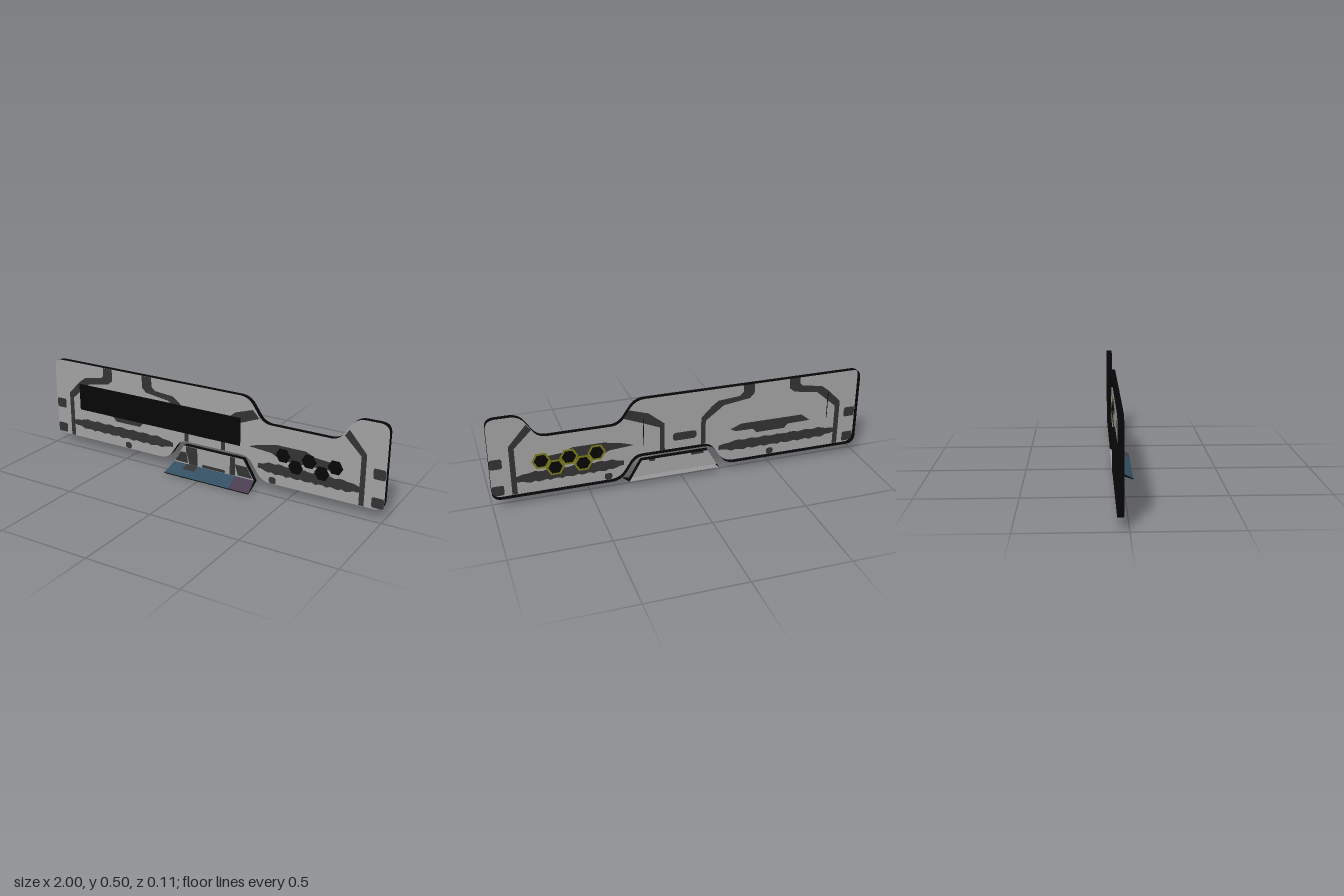
import * as THREE from 'three';

const mat = (name, color) => {
  const m = new THREE.MeshStandardMaterial({ color, side: THREE.DoubleSide });
  m.name = name;
  return m;
};
const FRONT = -0.024, BACK = -0.0525, LIFT = 0.0008;

// Closed shape through [x, y, cornerRadius] points
function roundedShape(pts) {
  const shape = new THREE.Shape();
  pts.forEach(([x, y, r = 0], i) => {
    const p = new THREE.Vector2(x, y);
    const towards = ([qx, qy]) => {
      const d = new THREE.Vector2(qx, qy).sub(p);
      return p.clone().add(d.setLength(Math.min(r, d.length() / 2)));
    };
    const a = towards(pts[(i + pts.length - 1) % pts.length]);
    const b = towards(pts[(i + 1) % pts.length]);
    if (i) shape.lineTo(a.x, a.y); else shape.moveTo(a.x, a.y);
    if (r) shape.quadraticCurveTo(x, y, b.x, b.y);
  });
  shape.closePath();
  return shape;
}

const rect = (x0, x1, y0, y1, r = 0) => [[x0, y0, r], [x1, y0, r], [x1, y1, r], [x0, y1, r]];

// Horizontal streak with an uneven edge and tapered ends
function streak(x0, x1, y0, y1, seed) {
  const top = [], low = [], n = 28, mid = (y0 + y1) / 2;
  for (let i = 0; i <= n; i++) {
    const t = i / n, x = x0 + (x1 - x0) * t;
    const h = (y1 - y0) / 2 * (0.4 + 0.6 * Math.min(1, 8 * Math.min(t, 1 - t)));
    top.unshift([x, mid + h * (0.88 + 0.12 * Math.sin(i * 1.9 + seed))]);
    low.push([x, mid - h * (0.85 + 0.15 * Math.sin(i * 2.3 + seed))]);
  }
  return [...low, ...top];
}

const hexagon = (cx, cy, r) => Array.from({ length: 6 }, (_, i) =>
  [cx + r * Math.cos(i * Math.PI / 3), cy + r * Math.sin(i * Math.PI / 3)]);

export function createModel() {
  const model = new THREE.Group();
  model.name = 'nameplate';
  const grey = mat('plate grey', 0xa2a2a2), dark = mat('pattern dark grey', 0x333333);
  const black = mat('edge black', 0x060606), olive = mat('hexagon olive', 0x7a7a16);
  const blue = mat('foot blue', 0x344e62), plum = mat('foot plum', 0x493c50);

  const add = (name, geometry, material, parent = model) => {
    const mesh = new THREE.Mesh(geometry, material);
    mesh.name = name;
    parent.add(mesh);
    return mesh;
  };
  const face = (name, pts, material, z) =>
    add(name, new THREE.ShapeGeometry(roundedShape(pts), 8), material).position.z = z;
  const bothFaces = (name, pts) => {
    face(name + 'Front', pts, dark, FRONT + LIFT);
    face(name + 'Back', pts, dark, FRONT - LIFT);
  };

  // Main plate: a sheet with a dipped top edge and a notch below
  const outline = [
    [-1, 0.052, 0.05], [-0.237, 0.052, 0.05], [-0.155, 0.175, 0.04], [0.257, 0.175, 0.04],
    [0.338, 0.052, 0.05], [1, 0.052, 0.05], [1, 0.497, 0.05], [0.833, 0.497, 0.05],
    [0.75, 0.37, 0.045], [0.341, 0.37, 0.045], [0.253, 0.497, 0.05], [-1, 0.497, 0.05]];
  face('mainPlate', outline, grey, FRONT);

  // Rim wall running back from the edge of the sheet, open behind
  const loop = roundedShape(outline).getPoints(8);
  const rim = new THREE.BufferGeometry();
  rim.setAttribute('position', new THREE.Float32BufferAttribute(
    loop.flatMap(p => [p.x, p.y, FRONT, p.x, p.y, BACK]), 3));
  rim.setIndex(loop.flatMap((_, i) => {
    const a = 2 * i, b = 2 * ((i + 1) % loop.length);
    return [a, a + 1, b + 1, a, b + 1, b];
  }));
  const rimFlat = rim.toNonIndexed();
  rimFlat.computeVertexNormals();
  add('plateRim', rimFlat, black);

  // Dark bands and patches on both faces
  bothFaces('leftBand', [[-0.905, 0.054], [-0.905, 0.31], [-0.83, 0.385], [-0.79, 0.415],
    [-0.675, 0.435], [-0.66, 0.45], [-0.66, 0.496], [-0.6, 0.496], [-0.6, 0.43], [-0.63, 0.405],
    [-0.765, 0.382], [-0.82, 0.335], [-0.877, 0.285], [-0.877, 0.054]]);
  bothFaces('middleBand', [[-0.4, 0.496], [-0.4, 0.43], [-0.375, 0.405], [-0.23, 0.385],
    [-0.13, 0.31], [-0.13, 0.176], [-0.105, 0.176], [-0.105, 0.33], [-0.165, 0.39],
    [-0.2, 0.415], [-0.315, 0.425], [-0.338, 0.445], [-0.338, 0.496]]);
  bothFaces('centreBand', [[0.28, 0.432], [0.318, 0.392], [0.2, 0.345], [0.12, 0.31],
    [0.12, 0.176], [0.095, 0.176], [0.095, 0.33], [0.18, 0.4]]);
  bothFaces('rightBand', [[0.778, 0.4], [0.802, 0.433], [0.897, 0.325], [0.897, 0.054],
    [0.87, 0.054], [0.87, 0.31]]);
  for (const s of [-1, 1]) for (const y of [0.21, 0.06]) {
    const xs = [s * 0.935, s * 0.998].sort((a, b) => a - b);
    bothFaces('edgeTab', rect(...xs, y, y + 0.055, 0.012));
  }
  bothFaces('leftStreak', streak(-0.88, -0.205, 0.105, 0.17, 0.4));
  bothFaces('rightStreak', streak(0.315, 0.88, 0.105, 0.17, 2.1));
  bothFaces('hexagonStreak', [[0.26, 0.232], [0.32, 0.252], [0.42, 0.272], [0.58, 0.272],
    [0.63, 0.25], [0.75, 0.24], [0.72, 0.2], [0.45, 0.193], [0.39, 0.222]]);
  bothFaces('longPatch', [[-0.73, 0.222], [-0.68, 0.262], [-0.33, 0.262], [-0.27, 0.237],
    [-0.3, 0.222], [-0.4, 0.22], [-0.42, 0.197], [-0.58, 0.197], [-0.6, 0.22]]);
  bothFaces('smallPatch', rect(-0.08, 0.05, 0.22, 0.265, 0.02));
  for (const x of [-0.5, 0.4]) bothFaces('bottomDot', rect(x - 0.02, x + 0.02, 0.054, 0.09, 0.015));

  // Raised black screen panel, with its end seams behind
  add('screenPanel', new THREE.BoxGeometry(1.04, 0.153, 0.003), black).position.set(-0.31, 0.2985, -0.0223);
  for (const x of [-0.83, 0.208])
    face('panelSeam', rect(x - 0.002, x + 0.002, 0.222, 0.375), black, FRONT - 2 * LIFT);

  // Hexagons: black on the front, olive rimmed on the back
  [0.457, 0.528, 0.6, 0.671, 0.741].forEach((x, i) => {
    const y = i % 2 ? 0.174 : 0.222;
    face('hexagonFront', hexagon(x, y, 0.041), black, FRONT + 2 * LIFT);
    face('hexagonRim', hexagon(x, y, 0.049), olive, FRONT - 2 * LIFT);
    face('hexagonBack', hexagon(x, y, 0.037), black, FRONT - 3 * LIFT);
  });

  // Bent foot: rows of [y, z, left x, right x] from top to bend to tip
  const foot = new THREE.Group();
  foot.name = 'foot';
  model.add(foot);
  const frontRows = [[0.15, FRONT, -0.135, 0.228], [0.043, FRONT - 0.003, -0.197, 0.293], [0.005, 0.055, -0.21, 0.305]];
  const backRows = [[0.15, BACK, -0.135, 0.228], [0.035, BACK, -0.2, 0.296], [0, 0.055, -0.21, 0.305]];
  const at = (rows, i, u, t) => {
    const [y, z, l, r] = rows[i].map((v, k) => v + (rows[i + 1][k] - v) * t);
    return [l + (r - l) * u, y, z];
  };
  const quad = (name, a, b, c, d, material) => {
    const g = new THREE.BufferGeometry();
    g.setAttribute('position', new THREE.Float32BufferAttribute([a, b, c, d].flat(), 3));
    g.setIndex([0, 1, 2, 0, 2, 3]);
    g.computeVertexNormals();
    return add(name, g, material, foot);
  };
  const patch = (name, rows, i, [u0, u1, t0, t1], material, lift = 0) => {
    const c = [at(rows, i, u0, t0), at(rows, i, u0, t1), at(rows, i, u1, t1), at(rows, i, u1, t0)];
    if (rows === backRows) c.reverse();
    quad(name, ...c, material).position.y = lift;
  };
  patch('footUpright', frontRows, 0, [0, 1, 0, 1], grey);
  patch('footTopBlue', frontRows, 1, [0, 0.77, 0, 1], blue);
  patch('footTopPlum', frontRows, 1, [0.77, 1, 0, 1], plum);
  patch('footTopPatch', frontRows, 1, [0.16, 0.3, 0, 0.45], dark, LIFT);
  patch('footUnderside', backRows, 1, [0, 1, 0, 1], grey);
  for (const area of [[0.2, 0.25, 0, 1], [0.37, 0.63, 0.1, 0.6], [0.75, 0.8, 0, 1]])
    patch('undersidePatch', backRows, 1, area, dark, -LIFT);

  // Foot edges
  for (const u of [0, 1]) for (const i of [0, 1]) {
    const c = [at(frontRows, i, u, 0), at(backRows, i, u, 0), at(backRows, i, u, 1), at(frontRows, i, u, 1)];
    quad('footSide', ...(u ? c : c.reverse()), black);
  }
  quad('footTopEdge', at(frontRows, 0, 0, 0), at(frontRows, 0, 1, 0), at(backRows, 0, 1, 0), at(backRows, 0, 0, 0), black);
  quad('footTip', at(frontRows, 1, 0, 1), at(backRows, 1, 0, 1), at(backRows, 1, 1, 1), at(frontRows, 1, 1, 1), black);

  // Dark pattern on the upright of the foot
  bothFaces('footLeftColumn', [[-0.12, 0.148], [-0.12, 0.12], [-0.1, 0.046], [-0.05, 0.046], [-0.05, 0.148]]);
  bothFaces('footRightColumn', rect(0.15, 0.18, 0.046, 0.148));
  bothFaces('footLeftCorner', [[-0.19, 0.052], [-0.155, 0.11], [-0.12, 0.11], [-0.11, 0.052]]);
  bothFaces('footRightCorner', [[0.2, 0.052], [0.18, 0.11], [0.25, 0.11], [0.283, 0.052]]);
  bothFaces('footCentrePatch', rect(-0.02, 0.12, 0.046, 0.062, 0.01));
  return model;
}
